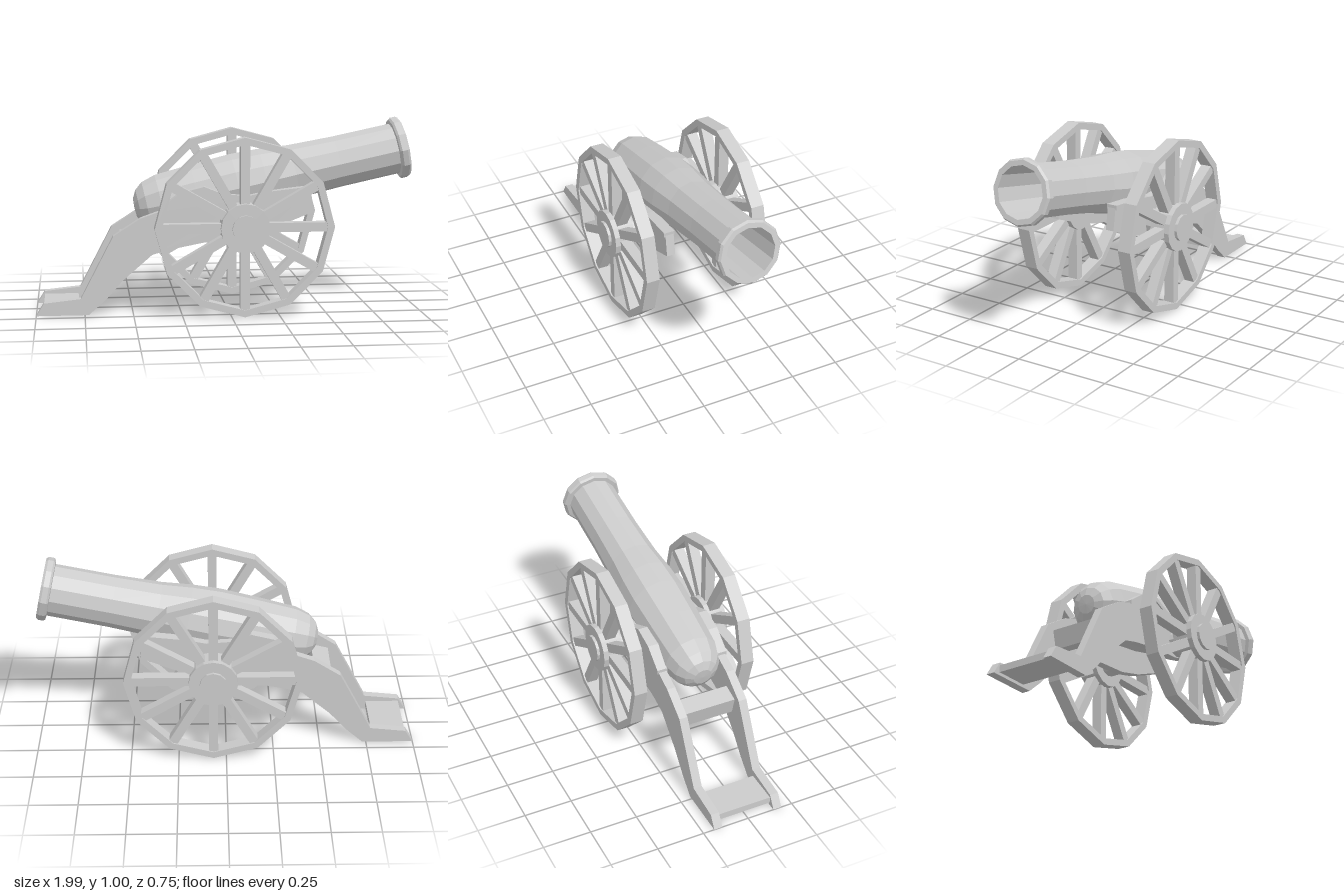
import * as THREE from 'three';

const mat = new THREE.MeshStandardMaterial({ color: 0xcccccc, flatShading: true });

function add(parent, name, geometry, x = 0, y = 0, z = 0) {
  const mesh = new THREE.Mesh(geometry, mat);
  mesh.name = name;
  mesh.position.set(x, y, z);
  parent.add(mesh);
  return mesh;
}

const points = (list) => list.map(([x, y]) => new THREE.Vector2(x, y));

// Slab with an x-y outline, filling z0..z1
function slab(outline, z0, z1) {
  const geo = new THREE.ExtrudeGeometry(new THREE.Shape(points(outline)), { depth: z1 - z0, bevelEnabled: false });
  return geo.translate(0, 0, z0);
}

// Disc or rod along z
const rod = (r, length, sides = 12) => new THREE.CylinderGeometry(r, r, length, sides).rotateX(Math.PI / 2);

const polygon = (r, n) => Array.from({ length: n }, (_, i) => {
  const a = (i / n) * Math.PI * 2;
  return [r * Math.cos(a), r * Math.sin(a)];
});

function makeWheel(z) {
  const wheel = new THREE.Group();
  wheel.name = 'wheel';
  wheel.position.set(0.067, 0.464, z);

  // Twelve-sided rim
  const rim = new THREE.Shape(points(polygon(0.462, 12)));
  rim.holes.push(new THREE.Path(points(polygon(0.426, 12).reverse())));
  add(wheel, 'rim', new THREE.ExtrudeGeometry(rim, { depth: 0.07, bevelEnabled: false }).translate(0, 0, -0.035));

  // Spokes run from the hub to the rim corners
  for (let i = 0; i < 12; i++) {
    const spoke = add(wheel, 'spoke', new THREE.BoxGeometry(0.34, 0.048, 0.056).translate(0.27, 0, 0));
    spoke.rotation.z = (i * Math.PI) / 6;
  }
  add(wheel, 'hub', rod(0.127, 0.11, 16));
  return wheel;
}

function makeBarrel() {
  const barrel = new THREE.Group();
  barrel.name = 'barrel';
  // Closed breech, swelling body, muzzle ring and bore, as radius and distance
  const profile = [
    [0, 0], [0.05, 0.003], [0.092, 0.025], [0.125, 0.065], [0.147, 0.14],
    [0.158, 0.33], [0.167, 0.55], [0.161, 0.7], [0.145, 0.86], [0.137, 1.1],
    [0.136, 1.418], [0.157, 1.42], [0.166, 1.43], [0.166, 1.458], [0.157, 1.47],
    [0.131, 1.47], [0.122, 0.85], [0, 0.85],
  ];
  add(barrel, 'barrelBody', new THREE.LatheGeometry(points(profile), 12));
  barrel.position.set(-0.482, 0.53, 0);
  barrel.rotation.z = THREE.MathUtils.degToRad(12.2 - 90);
  return barrel;
}

export function createModel() {
  const model = new THREE.Group();
  model.name = 'cannon';
  model.add(makeBarrel());

  // Upper edge of the carriage cheek, from rear to front
  const top = [[-0.36, 0.535], [-0.25, 0.615], [-0.13, 0.645], [-0.03, 0.605], [0.1, 0.595], [0.2, 0.615], [0.425, 0.64]];
  const cheek = [
    [-1, 0], [-0.73, 0], [-0.645, 0.075], [-0.55, 0.18], [-0.4, 0.31], [-0.31, 0.335],
    [-0.13, 0.37], [0.05, 0.385], [0.2, 0.425], [0.445, 0.525],
    ...[...top].reverse(), [-0.46, 0.5], [-0.6, 0.41], [-0.77, 0.085], [-0.96, 0.065],
  ];
  const cap = [...top.map(([x, y]) => [x, y - 0.008]), ...[...top].reverse().map(([x, y]) => [x, y + 0.016])];

  for (const side of [1, -1]) {
    const near = (a, b) => (side > 0 ? [a, b] : [-b, -a]);
    add(model, 'carriageCheek', slab(cheek, ...near(0.145, 0.19)));
    add(model, 'cheekCap', slab(cap, ...near(0.14, 0.197)));
    add(model, 'axleStub', rod(0.07, 0.225), 0.067, 0.464, side * 0.2625);
    model.add(makeWheel(side * 0.305));
  }

  // Boards joining the two cheeks
  const crossbar = add(model, 'crossbar', new THREE.BoxGeometry(0.095, 0.1, 0.3), -0.5, 0.355, 0);
  crossbar.rotation.z = 0.25;
  add(model, 'tailBoard', new THREE.BoxGeometry(0.18, 0.035, 0.3), -0.87, 0.033, 0);
  return model;
}
